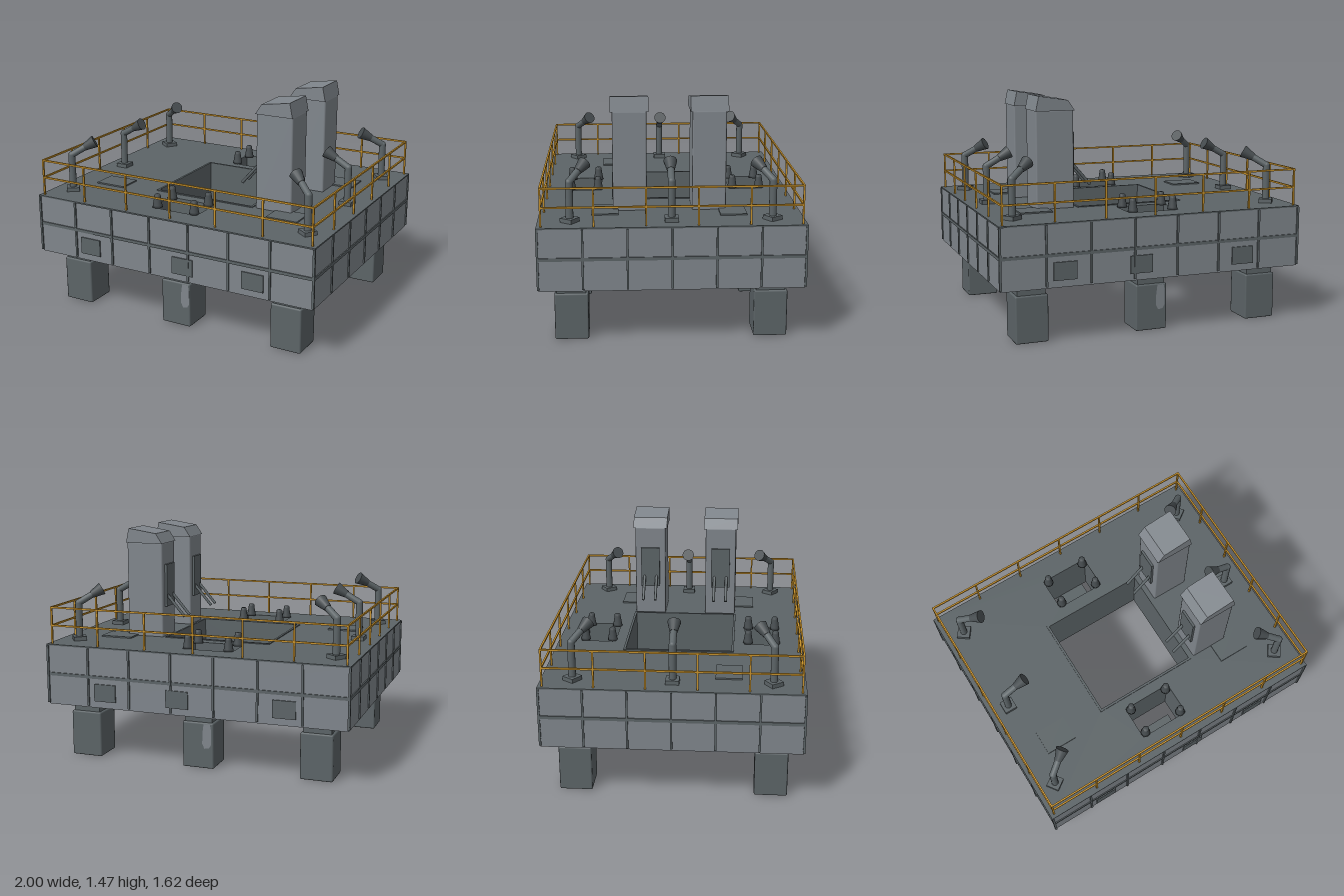
import * as THREE from 'three';
import { RoundedBoxGeometry } from 'three/addons/geometries/RoundedBoxGeometry.js';

const material = (name, color) => {
  const m = new THREE.MeshStandardMaterial({ color });
  m.name = name;
  return m;
};

export function createModel() {
  const hullGrey = material('hull grey', 0x80868c);
  const darkGrey = material('dark steel', 0x5c6467);
  const charcoal = material('charcoal', 0x474d50);
  const yellow = material('rail yellow', 0xc8922a);

  const model = new THREE.Group();
  const add = (name, geometry, mat, x = 0, y = 0, z = 0, parent = model) => {
    const mesh = new THREE.Mesh(geometry, mat);
    mesh.name = name;
    mesh.position.set(x, y, z);
    parent.add(mesh);
    return mesh;
  };
  const box = (name, mat, w, h, d, x, y, z, parent) =>
    add(name, new THREE.BoxGeometry(w, h, d), mat, x, y, z, parent);
  // Cylinder between two points
  const rod = (name, mat, a, b, r0, r1, sides, parent) => {
    const start = new THREE.Vector3(...a), end = new THREE.Vector3(...b);
    const dir = end.clone().sub(start);
    const mesh = add(name, new THREE.CylinderGeometry(r1, r0, dir.length(), sides), mat, 0, 0, 0, parent);
    mesh.position.copy(start).add(end).multiplyScalar(0.5);
    mesh.quaternion.setFromUnitVectors(new THREE.Vector3(0, 1, 0), dir.normalize());
    return mesh;
  };
  const rect = (Type, x0, x1, z0, z1) => new Type([
    [x0, z0], [x1, z0], [x1, z1], [x0, z1],
  ].map(([x, z]) => new THREE.Vector2(x, z)));
  // Horizontal slab with rectangular openings
  const slab = (name, mat, outline, holes, y0, y1) => {
    const shape = rect(THREE.Shape, ...outline);
    shape.holes = holes.map(h => rect(THREE.Path, ...h));
    const g = new THREE.ExtrudeGeometry(shape, { depth: y1 - y0, bevelEnabled: false });
    g.rotateX(Math.PI / 2);
    return add(name, g, mat, 0, y1, 0);
  };

  // Platform with a central well and two small shafts
  const well = [-0.345, 0.345, -0.345, 0.345];
  const openings = [well, [-0.21, 0.12, 0.43, 0.655], [-0.21, 0.12, -0.655, -0.43]];
  slab('platformCore', darkGrey, [-0.985, 0.985, -0.795, 0.795], openings, 0.355, 0.741);
  slab('deck', darkGrey, [-0.998, 0.998, -0.808, 0.808], openings, 0.741, 0.75);
  slab('wellRim', darkGrey, [-0.36, 0.36, -0.36, 0.36], [well], 0.75, 0.756);

  // Side plating, ribs, bands and hatches
  for (const s of [-1, 1]) {
    box('longSidePlating', hullGrey, 1.984, 0.386, 0.006, 0, 0.548, s * 0.798);
    box('shortSidePlating', hullGrey, 0.006, 0.386, 1.602, s * 0.989, 0.548, 0);
    box('longSideBand', darkGrey, 1.99, 0.02, 0.01, 0, 0.555, s * 0.803);
    box('shortSideBand', darkGrey, 0.01, 0.02, 1.61, s * 0.994, 0.555, 0);
    for (let i = 0; i < 8; i++) {
      box('longSideRib', darkGrey, 0.013, 0.375, 0.014, -0.992 + i * 1.984 / 7, 0.5525, s * 0.803);
    }
    for (let i = 0; i < 7; i++) {
      box('shortSideRib', darkGrey, 0.014, 0.375, 0.013, s * 0.993, 0.5525, -0.803 + i * 1.606 / 6);
    }
    for (const x of [-0.595, 0.1, 0.592]) {
      box('sideHatch', darkGrey, 0.148, 0.112, 0.009, x, 0.455, s * 0.8045);
    }
  }

  // Deck hatches
  for (const [x, z] of [[-0.695, 0.34], [0.625, 0.402], [0.665, -0.388]]) {
    box('deckHatch', darkGrey, 0.21, 0.009, 0.165, x, 0.7545, z);
  }

  // Legs
  for (const s of [-1, 1]) {
    for (const x of [-0.775, -0.005, 0.775]) {
      add('leg', new RoundedBoxGeometry(0.208, 0.297, 0.208, 1, 0.01), darkGrey, x, 0.1485, s * 0.612);
      box('legNeck', darkGrey, 0.18, 0.07, 0.18, x, 0.325, s * 0.612);
    }
    // Worn patch on each middle leg
    const patch = new THREE.Shape([
      [-0.02, 0.08], [0.022, 0.08], [0.03, 0.04], [0.03, -0.05], [0.015, -0.075],
      [-0.015, -0.08], [-0.03, -0.05], [-0.028, 0.02],
    ].map(p => new THREE.Vector2(...p)));
    const worn = add('legWornPatch', new THREE.ShapeGeometry(patch), hullGrey, s * 0.065, 0.21, s * 0.7175);
    worn.rotation.y = s > 0 ? 0 : Math.PI;
  }

  // Railing
  const railing = new THREE.Group();
  railing.name = 'railing';
  model.add(railing);
  const rx = 0.97, rz = 0.78, t = 0.011;
  for (const s of [-1, 1]) {
    for (const y of [0.985, 0.868]) {
      box('longRail', yellow, 2 * rx + t, t, t, 0, y, s * rz, railing);
      box('shortRail', yellow, t, t, 2 * rz + t, s * rx, y, 0, railing);
    }
    for (let i = 0; i <= 6; i++) {
      box('longRailPost', yellow, t, 0.235, t, -rx + i * rx / 3, 0.8675, s * rz, railing);
    }
    for (let i = 1; i < 5; i++) {
      box('shortRailPost', yellow, t, 0.235, t, s * rx, 0.8675, -rz + i * rz * 0.4, railing);
    }
  }

  // Exhaust towers with sloped caps
  const capShape = new THREE.Shape([
    [0.376, 1.37], [0.632, 1.37], [0.612, 1.465], [0.42, 1.436],
  ].map(p => new THREE.Vector2(...p)));
  for (const s of [-1, 1]) {
    const tower = new THREE.Group();
    tower.name = 'tower';
    tower.position.z = s * 0.247;
    model.add(tower);
    add('towerBody', new RoundedBoxGeometry(0.25, 0.63, 0.212, 1, 0.01), hullGrey, 0.505, 1.06, 0, tower);
    add('towerCap', new THREE.ExtrudeGeometry(capShape, { depth: 0.235, bevelEnabled: false }),
      hullGrey, 0, 0, -0.1175, tower);
    box('towerPanel', darkGrey, 0.016, 0.28, 0.13, 0.373, 1.09, 0, tower);
    for (const z of [-0.042, 0.042]) {
      rod('towerStrut', darkGrey, [0.25, 0.885, z], [0.38, 1.035, z], 0.01, 0.01, 8, tower);
    }
  }

  // Floodlights aimed at the centre of the deck
  for (const s of [-1, 1]) {
    for (const z of [-0.612, 0, 0.612]) {
      const lamp = new THREE.Group();
      lamp.name = 'floodlight';
      lamp.position.set(s * 0.862, 0.75, z);
      lamp.rotation.y = Math.atan2(z, -s * 0.862);
      model.add(lamp);
      box('lampBase', darkGrey, 0.084, 0.026, 0.084, 0, 0.013, 0, lamp);
      rod('lampPost', darkGrey, [0, 0.02, 0], [0, 0.245, 0], 0.023, 0.023, 16, lamp);
      add('lampElbow', new THREE.SphereGeometry(0.023, 16, 10), darkGrey, 0, 0.245, 0, lamp);
      rod('lampArm', darkGrey, [0, 0.245, 0], [0.1, 0.302, 0], 0.022, 0.022, 16, lamp);
      rod('lampHead', charcoal, [0.085, 0.294, 0], [0.155, 0.332, 0], 0.024, 0.042, 16, lamp);
    }
  }

  // Bollards around the shafts
  const bollard = new THREE.LatheGeometry([
    [0, 0], [0.033, 0], [0.03, 0.015], [0.021, 0.07], [0.021, 0.08], [0.014, 0.087], [0, 0.087],
  ].map(p => new THREE.Vector2(...p)), 12);
  for (const s of [-1, 1]) {
    for (const x of [-0.181, 0.09]) {
      for (const z of [0.452, 0.632]) add('bollard', bollard, charcoal, x, 0.75, s * z);
    }
  }
  return model;
}
